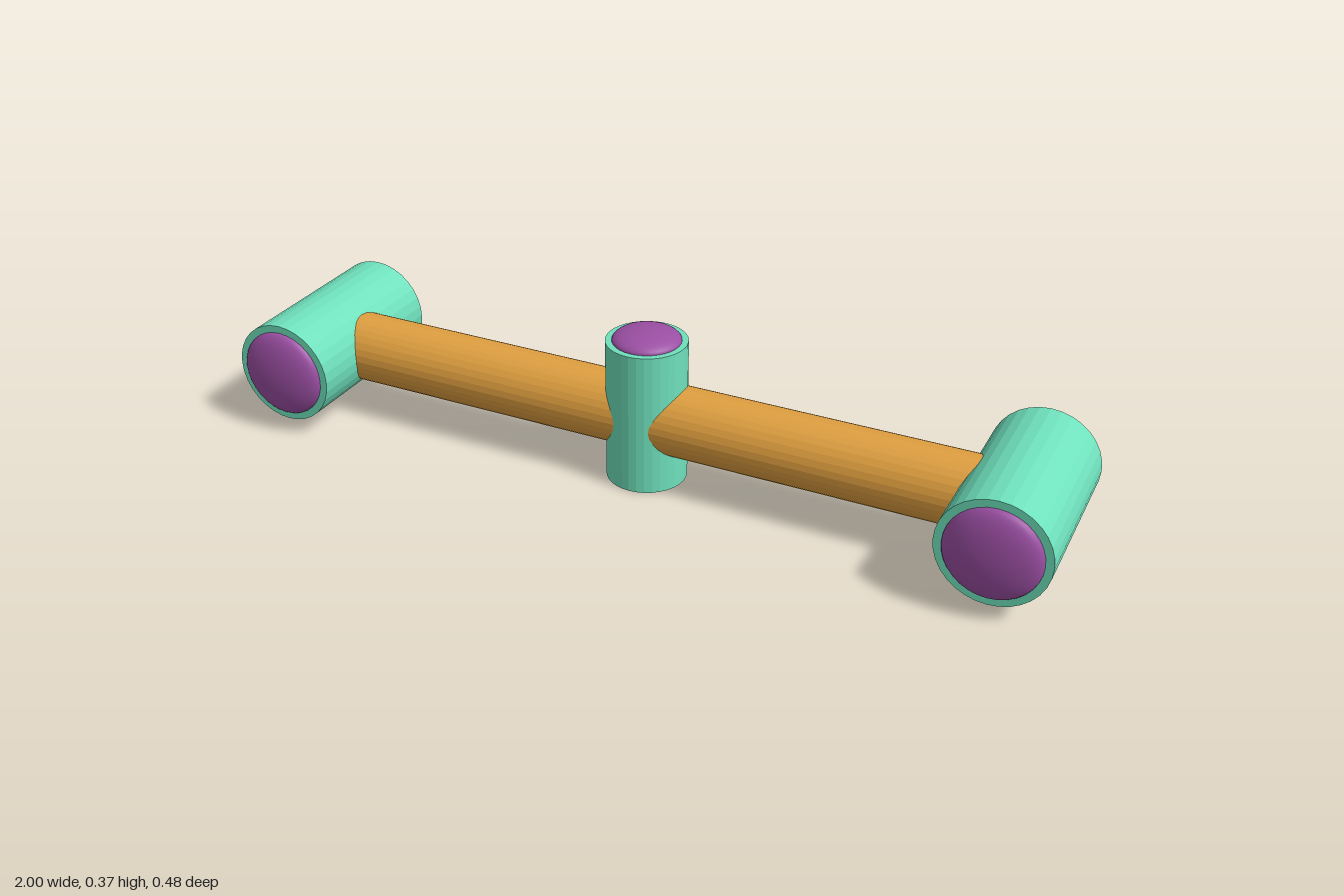
import * as THREE from 'three';

const SIDES = 32;
const AXLE_Y = 0.157;

const mint = new THREE.MeshStandardMaterial({ color: 0x6fe0bc, flatShading: true });
const orange = new THREE.MeshStandardMaterial({ color: 0xe0a040, flatShading: true });
const purple = new THREE.MeshStandardMaterial({ color: 0x9b4fa3 });

function cylinder(name, radius, length, material) {
  const mesh = new THREE.Mesh(new THREE.CylinderGeometry(radius, radius, length, SIDES), material);
  mesh.name = name;
  return mesh;
}

// Flattened half-ellipsoid button, dome facing +y, base at y = 0
function domeCap(name, radius, height) {
  const geometry = new THREE.SphereGeometry(radius, SIDES, 12, 0, Math.PI * 2, 0, Math.PI / 2);
  geometry.scale(1, height / radius, 1);
  const mesh = new THREE.Mesh(geometry, purple);
  mesh.name = name;
  return mesh;
}

// Horizontal barrel along z with a dome on each end
function endBarrel(name) {
  const group = new THREE.Group();
  group.name = name;
  group.add(cylinder('barrel', 0.125, 0.416, mint));
  for (const s of [1, -1]) {
    const cap = domeCap(s > 0 ? 'frontCap' : 'backCap', 0.107, 0.033);
    cap.position.y = s * 0.208;
    if (s < 0) cap.rotation.x = Math.PI;
    group.add(cap);
  }
  group.rotation.x = Math.PI / 2;
  return group;
}

export function createModel() {
  const model = new THREE.Group();
  model.name = 'crossbarWithBarrels';

  // Long crossbar
  const bar = cylinder('crossbar', 0.084, 1.75, orange);
  bar.rotation.z = Math.PI / 2;
  bar.position.y = AXLE_Y + 0.001;
  model.add(bar);

  // Upright centre post, domed on top only
  const post = cylinder('centrePost', 0.095, 0.348, mint);
  post.position.y = 0.174;
  const postCap = domeCap('postCap', 0.08, 0.025);
  postCap.position.y = 0.348;
  model.add(post, postCap);

  // Barrels at both ends
  for (const s of [1, -1]) {
    const barrel = endBarrel(s > 0 ? 'leftBarrel' : 'rightBarrel');
    barrel.position.set(s * 0.875, AXLE_Y, 0);
    model.add(barrel);
  }
  return model;
}
